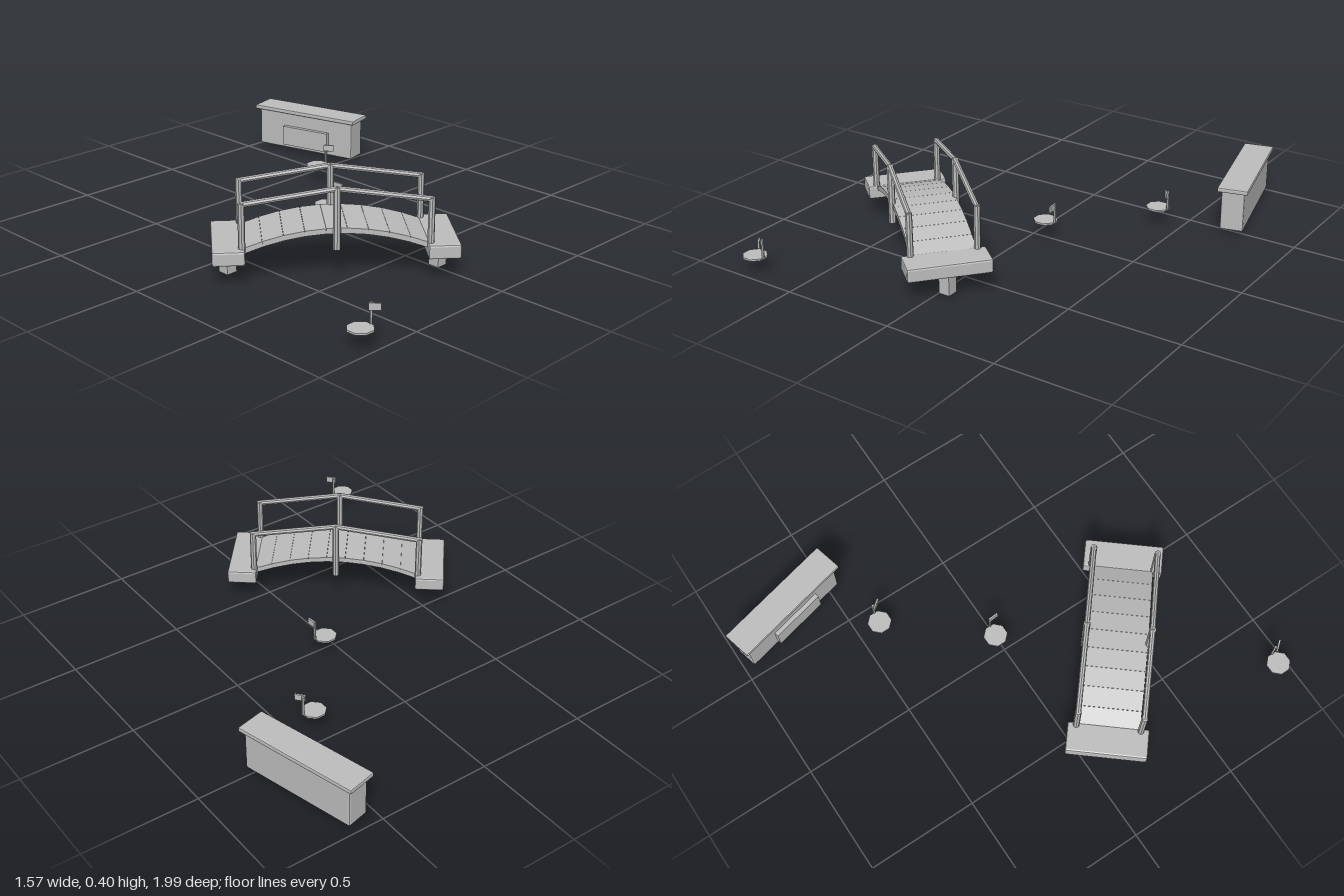
import * as THREE from 'three';
import { RoundedBoxGeometry } from 'three/addons/geometries/RoundedBoxGeometry.js';

export function createModel() {
  const model = new THREE.Group();
  const grey = new THREE.MeshStandardMaterial({ color: 0xbebebe, flatShading: true });
  grey.name = 'plain grey';

  const add = (parent, name, geometry, x = 0, y = 0, z = 0) => {
    const mesh = new THREE.Mesh(geometry, grey);
    mesh.name = name;
    mesh.position.set(x, y, z);
    parent.add(mesh);
    return mesh;
  };
  const box = (w, h, d) => new THREE.BoxGeometry(w, h, d);
  const bevelBox = (w, h, d, r) => new RoundedBoxGeometry(w, h, d, 1, r);
  const group = (name, x, z, yaw) => {
    const g = new THREE.Group();
    g.name = name;
    g.position.set(x, 0, z);
    g.rotation.y = yaw;
    model.add(g);
    return g;
  };
  // Round bar between two points
  const bar = (parent, name, a, b, radius) => {
    const dir = b.clone().sub(a);
    const mesh = add(parent, name, new THREE.CylinderGeometry(radius, radius, dir.length(), 8));
    mesh.position.copy(a).lerp(b, 0.5);
    mesh.quaternion.setFromUnitVectors(new THREE.Vector3(0, 1, 0), dir.normalize());
  };

  // Footbridge, its length along local x
  const yaw = THREE.MathUtils.degToRad(-40);
  const bridge = group('bridge', -0.298, 0.378, yaw);
  for (const s of [-1, 1]) {
    add(bridge, 'endPad', bevelBox(0.13, 0.06, 0.348, 0.008), s * 0.423, 0.124, 0);
    const leg = add(bridge, 'padLeg', box(0.05, 0.1, 0.05), s * 0.423, 0.05, 0);
    leg.rotation.y = -yaw;
  }

  // Arched deck of planks
  const planks = 9, half = 0.37;
  const arch = (u) => 0.225 - 0.075 * (u / half) ** 2;
  for (let i = 0; i < planks; i++) {
    const u0 = -half + (2 * half * i) / planks;
    const u1 = u0 + (2 * half) / planks;
    const rise = arch(u1) - arch(u0);
    const plank = add(bridge, 'plank', box(Math.hypot(u1 - u0, rise), 0.022, 0.268),
      (u0 + u1) / 2, (arch(u0) + arch(u1)) / 2 - 0.011, 0);
    plank.rotation.z = Math.atan2(rise, u1 - u0);
  }

  // Posts and handrails on both sides
  for (const z of [-0.137, 0.137]) {
    const v = (x, y) => new THREE.Vector3(x, y, z);
    for (const s of [-1, 1]) {
      bar(bridge, 'endPost', v(s * 0.37, 0.14), v(s * 0.37, 0.342), 0.014);
      bar(bridge, 'handrail', v(s * 0.375, 0.335), v(0, 0.389), 0.012);
    }
    bar(bridge, 'middlePost', v(0, 0.138), v(0, 0.395), 0.015);
  }

  // Counter, its length along local z
  const counter = group('counter', 0.655, -0.715, THREE.MathUtils.degToRad(14));
  add(counter, 'counterBody', bevelBox(0.102, 0.182, 0.521, 0.008), 0, 0.111, 0);
  add(counter, 'counterTop', bevelBox(0.133, 0.02, 0.557, 0.005), 0, 0.21, 0);
  add(counter, 'sidePanel', box(0.022, 0.094, 0.25), -0.06, 0.088, 0.01);

  // Small round bases, each with a post and flag
  const markers = [[-0.737, 0.942, -50], [0.055, -0.01, -86], [0.39, -0.4, -50]];
  for (const [x, z, turn] of markers) {
    const marker = group('marker', x, z, 0);
    add(marker, 'markerBase', new THREE.CylinderGeometry(0.053, 0.053, 0.008, 8), 0, 0.075, 0)
      .rotation.y = Math.PI / 8;
    add(marker, 'markerPost', new THREE.CylinderGeometry(0.006, 0.006, 0.09, 6), 0.05, 0.118, 0.004);
    add(marker, 'markerFlag', box(0.046, 0.028, 0.008), 0.051, 0.151, 0.022)
      .rotation.y = THREE.MathUtils.degToRad(turn);
  }

  return model;
}
